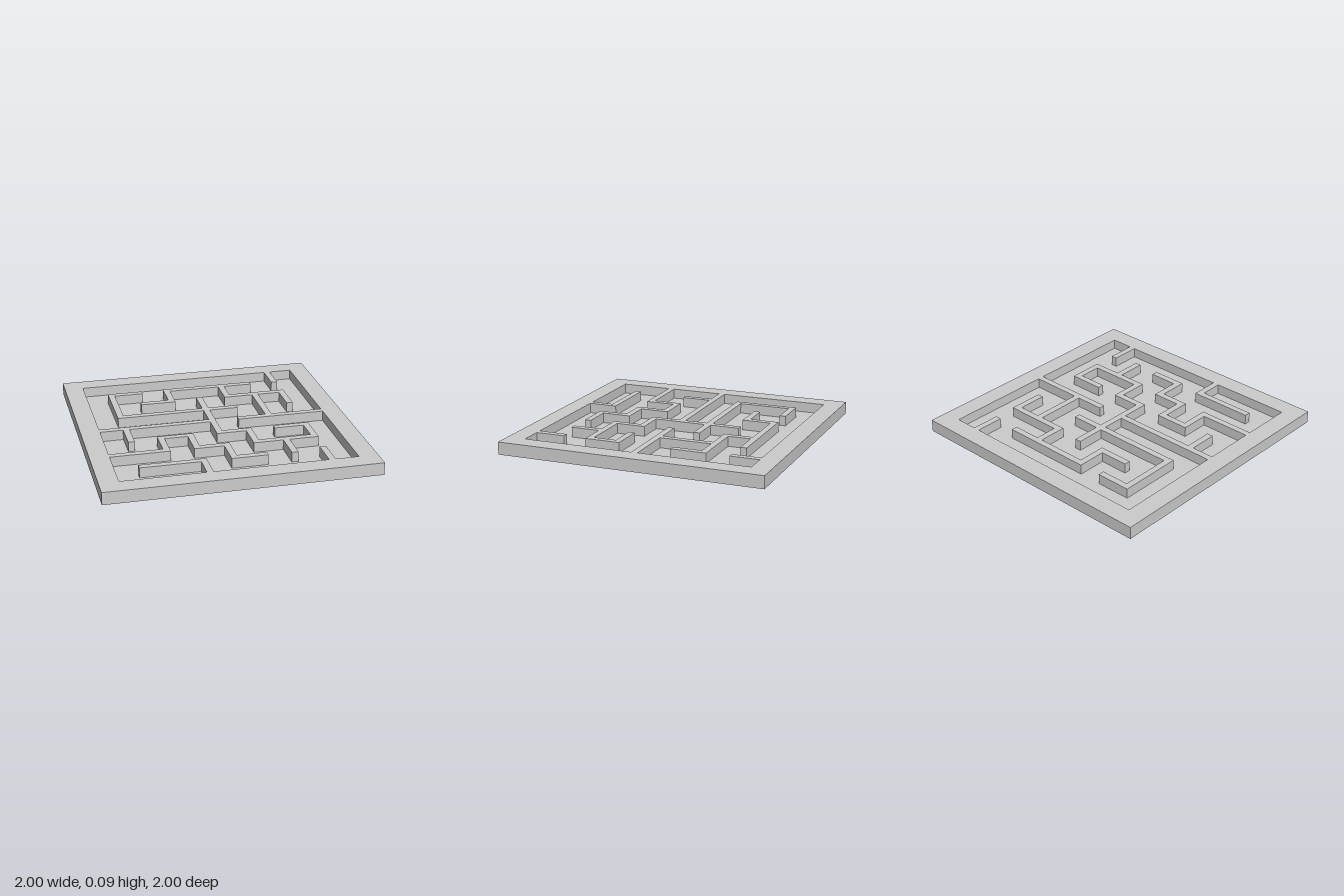
import * as THREE from 'three';

const PITCH = 0.2205;   // spacing of the maze lattice
const WALL = 0.048;     // wall thickness
const FLOOR = 0.018;    // floor slab thickness
const HEIGHT = 0.094;   // top of the walls
const EDGE = 4;         // lattice index of the border

// Wall runs as [x, z] lattice points; later runs butt against earlier ones
const RUNS = {
  centreWall: [[0, -2], [0, 1], [1, 1], [1, 2], [3, 2], [3, 1], [2, 1]],
  frontRightSpur: [[2, 2], [2, 3]],
  centreSpur: [[0, -1], [1, -1]],
  backHookWall: [[0, -1], [-3, -1], [-3, -3], [-2, -3]],
  middleWall: [[0, 0], [-4, 0]],
  middleSpur: [[-3, 0], [-3, 1]],
  backBorderStub: [[3, -4], [3, -3]],
  sideWall: [[4, 0], [1, 0]],
  backStepWall: [[2, -3], [-1, -3], [-1, -2], [-2, -2]],
  backBranchWall: [[3, -1], [3, -2], [1, -2], [1, -3]],
  linkWall: [[2, 0], [2, -2]],
  frontStepWall: [[-4, 2], [-2, 2], [-2, 1], [-1, 1], [-1, 2], [0, 2], [0, 3], [1, 3]],
  frontCornerWall: [[-3, 3], [-1, 3], [-1, 4]],
  frontBorderStub: [[3, 4], [3, 3]],
};

function square(half, Type) {
  return new Type([[-1, -1], [1, -1], [1, 1], [-1, 1]].map(([x, y]) => new THREE.Vector2(x * half, y * half)));
}

export function createModel() {
  const model = new THREE.Group();
  model.name = 'maze';
  const material = new THREE.MeshStandardMaterial({ color: 0xcccccc });

  function add(parent, geometry, name, x = 0, y = 0, z = 0) {
    const mesh = new THREE.Mesh(geometry, material);
    mesh.name = name;
    mesh.position.set(x, y, z);
    parent.add(mesh);
  }

  // Floor slab
  add(model, new THREE.BoxGeometry(2, FLOOR, 2), 'floor', 0, FLOOR / 2, 0);

  // Wide border frame
  const outline = square(1, THREE.Shape);
  outline.holes.push(square(EDGE * PITCH - WALL / 2, THREE.Path));
  const frame = new THREE.ExtrudeGeometry(outline, { depth: HEIGHT - FLOOR, bevelEnabled: false });
  frame.rotateX(-Math.PI / 2);
  add(model, frame, 'borderFrame', 0, FLOOR, 0);

  // Maze walls: free ends overhang their node, occupied ends stop at its face
  const used = new Set();
  const overhang = ([x, z]) =>
    Math.max(Math.abs(x), Math.abs(z)) === EDGE || used.has(`${x},${z}`) ? -WALL / 2 : WALL / 2;

  for (const [name, points] of Object.entries(RUNS)) {
    const run = new THREE.Group();
    run.name = name;
    model.add(run);
    for (let i = 1; i < points.length; i++) {
      const a = points[i - 1], b = points[i];
      const axis = a[0] !== b[0] ? 0 : 1;
      const dir = Math.sign(b[axis] - a[axis]);
      const start = a[axis] * PITCH - dir * overhang(a);
      const end = b[axis] * PITCH + dir * overhang(b);
      const size = [WALL, WALL], centre = [a[0] * PITCH, a[1] * PITCH];
      size[axis] = Math.abs(end - start);
      centre[axis] = (start + end) / 2;
      add(run, new THREE.BoxGeometry(size[0], HEIGHT - FLOOR, size[1]), 'wallSegment',
        centre[0], (HEIGHT + FLOOR) / 2, centre[1]);
      // Mark every node along this segment as occupied
      for (let k = a[axis]; k !== b[axis] + dir; k += dir) {
        used.add(axis === 0 ? `${k},${a[1]}` : `${a[0]},${k}`);
      }
    }
  }
  return model;
}
